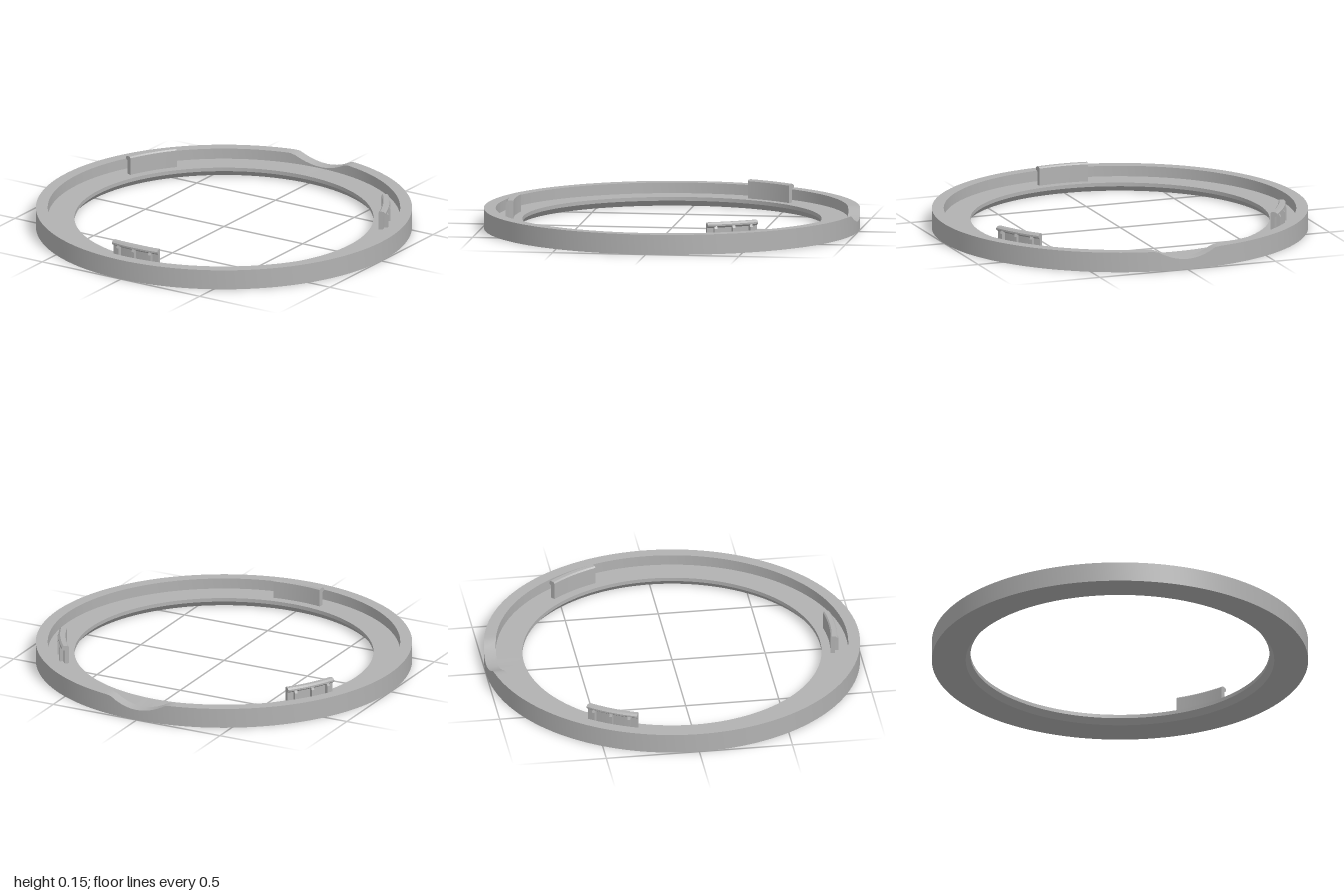
import * as THREE from 'three';
import { toCreasedNormals } from 'three/addons/utils/BufferGeometryUtils.js';

const pts = (list) => list.map(([r, y]) => new THREE.Vector2(r, y));

// Sweeps a closed (radius, height) section around the y axis, centred on +z
function arcBar(section, halfAngle, steps, centre = 0) {
  const geo = new THREE.ExtrudeGeometry(new THREE.Shape(pts(section)), {
    depth: halfAngle * 2, steps, bevelEnabled: false,
  });
  const p = geo.attributes.position;
  for (let i = 0; i < p.count; i++) {
    const r = p.getX(i);
    const a = p.getZ(i) - halfAngle + centre;
    p.setXYZ(i, -r * Math.sin(a), p.getY(i), r * Math.cos(a));
  }
  return toCreasedNormals(geo, 0.45);
}

// Ring with a raised outer wall and a curved thumb notch in the back of it
function ringGeometry() {
  const height = 0.107, notchHalf = 0.168, notchDepth = 0.05;
  const geo = new THREE.LatheGeometry(pts([
    [0.82, 0], [1, 0], [1, height], [0.937, height],
    [0.937, 0.05], [0.795, 0.05], [0.795, 0.03], [0.82, 0],
  ]), 192);
  const p = geo.attributes.position;
  for (let i = 0; i < p.count; i++) {
    if (p.getY(i) < 0.1 || p.getZ(i) > 0) continue;
    const t = p.getX(i) / notchHalf;
    p.setY(i, height - notchDepth * Math.max(0, 1 - t * t));
  }
  return toCreasedNormals(geo, 0.45);
}

export function createModel() {
  const model = new THREE.Group();
  const grey = new THREE.MeshStandardMaterial({ color: 0xb2b2b2 });
  grey.name = 'greyPlastic';
  const add = (parent, name, geo) => {
    const mesh = new THREE.Mesh(geo, grey);
    mesh.name = name;
    parent.add(mesh);
  };

  add(model, 'ring', ringGeometry());

  // Three snap clips standing on the floor of the ring
  const clipSection = [
    [0.842, 0.045], [0.866, 0.045], [0.866, 0.122], [0.88, 0.132],
    [0.88, 0.141], [0.871, 0.15], [0.849, 0.15], [0.842, 0.143],
  ];
  const ribSection = [[0.86, 0.045], [0.886, 0.045], [0.886, 0.118], [0.878, 0.134], [0.86, 0.134]];
  for (let i = 0; i < 3; i++) {
    const clip = new THREE.Group();
    clip.name = 'clip';
    clip.rotation.y = (i * Math.PI * 2) / 3;
    add(clip, 'clipWall', arcBar(clipSection, 0.165, 10));
    for (const a of [-0.115, 0, 0.115]) add(clip, 'clipRib', arcBar(ribSection, 0.009, 1, a));
    model.add(clip);
  }
  return model;
}
